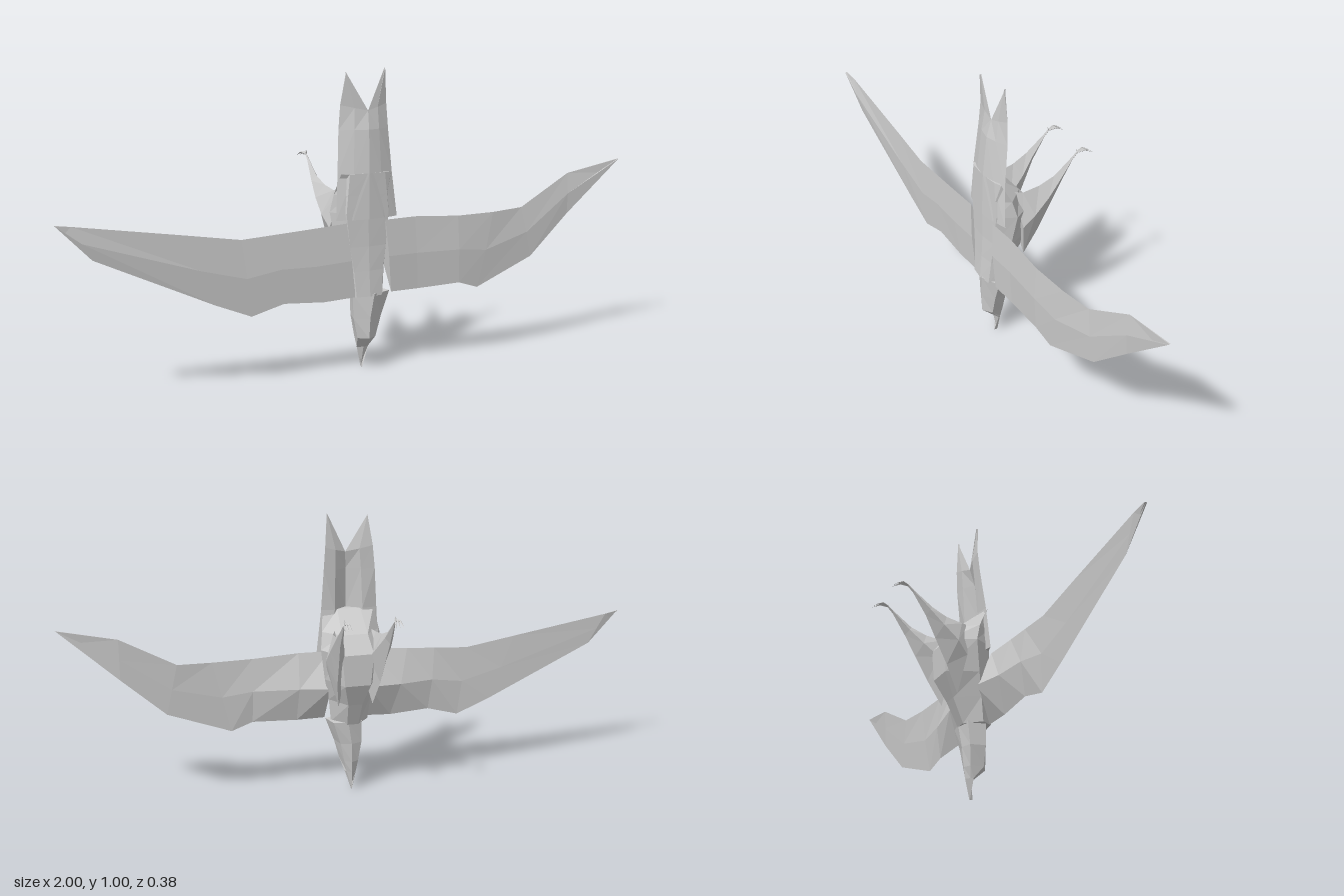
import * as THREE from 'three';

const material = new THREE.MeshStandardMaterial({ color: 0xcccccc, flatShading: true, side: THREE.DoubleSide });
const MID = 0.018; // x of the body's centre line

// Skin a list of equal-sized point rings and close both ends
function loft(name, rings) {
  const n = rings[0].length, index = [];
  for (let r = 0; r < rings.length - 1; r++) {
    for (let i = 0; i < n; i++) {
      const a = r * n + i, b = r * n + (i + 1) % n;
      index.push(a, b, b + n, a, b + n, a + n);
    }
  }
  const end = (rings.length - 1) * n;
  for (let i = 1; i < n - 1; i++) index.push(0, i + 1, i, end, end + i, end + i + 1);
  const geometry = new THREE.BufferGeometry();
  geometry.setAttribute('position', new THREE.Float32BufferAttribute(rings.flat(2), 3));
  geometry.setIndex(index);
  const flat = geometry.toNonIndexed();
  flat.computeVertexNormals();
  const mesh = new THREE.Mesh(flat, material);
  mesh.name = name;
  return mesh;
}

// Body ring: back, flanks and belly at one height
const bodyRing = ([y, w, back, flank, belly, bw]) => [
  [MID, y, back], [MID + w * 0.7, y, back - 0.006], [MID + w, y, flank], [MID + bw, y, belly],
  [MID - bw, y, belly], [MID - w, y, flank], [MID - w * 0.7, y, back - 0.006],
];

// Head ring: six sides between a back and a throat depth
const headRing = ([y, x, w, back, throat]) => {
  const mid = (back + throat) / 2;
  return [
    [x, y, back], [x + w, y, mid + (back - mid) * 0.45], [x + w * 0.75, y, throat + 0.012],
    [x, y, throat], [x - w * 0.75, y, throat + 0.012], [x - w, y, mid + (back - mid) * 0.45],
  ];
};

// Wing ring: lower edge, upper surface, upper edge, thickness underneath
const wingRing = ([xl, yl, xu, yu, z, t]) => {
  const x = (xl + xu) / 2, y = (yl + yu) / 2;
  return [[xl, yl, z], [x, y, z + 0.004], [xu, yu, z - 0.004], [x, y, z - t]];
};

// Tail ring: outer edge, folded surface, inner edge, underside
const tailRing = ([xo, yo, zo, xi, yi, zi, t]) => {
  const x = (xo + xi) / 2, y = (yo + yi) / 2, z = (zo + zi) / 2;
  return [[xo, yo, zo], [x, y, z + 0.004], [xi, yi, zi], [x, y, z - t]];
};

// Thin toe that hooks through three points
function toe(points) {
  const rings = points.map(([x, y, z], i) => {
    const r = [0.004, 0.0035, 0.0005][i];
    return [[x - r, y, z], [x, y + r, z + r * 0.5], [x + r, y, z], [x, y - r, z - r * 0.5]];
  });
  return loft('toe', rings);
}

// Leg on one side: broad thigh tapering to a thin shank, then splayed toes
function makeLeg(side) {
  const leg = new THREE.Group();
  leg.name = side > 0 ? 'leftLeg' : 'rightLeg';
  // centre offset, half width, front edge y/z, rear edge y/z
  const sections = [
    [0.06, 0.035, 0.34, 0.058, 0.60, 0.10],
    [0.075, 0.032, 0.43, 0.012, 0.594, 0.07],
    [0.08, 0.025, 0.515, -0.032, 0.603, 0.01],
    [0.085, 0.014, 0.59, -0.07, 0.625, -0.045],
    [0.085, 0.004, 0.664, -0.117, 0.674, -0.113],
    [0.085, 0.003, 0.683, -0.136, 0.69, -0.132],
  ];
  leg.add(loft('thighAndShank', sections.map(([o, w, y0, z0, y1, z1]) => {
    const x = MID + side * o, y = (y0 + y1) / 2, z = (z0 + z1) / 2;
    return [[x, y0, z0], [x + w, y, z], [x, y1, z1], [x - w, y, z]];
  })));
  const x = MID + side * 0.085;
  for (const spread of [-1, 0, 1]) {
    leg.add(toe([[x, 0.687, -0.134], [x + spread * 0.008, 0.692, -0.158], [x + spread * 0.012, 0.677, -0.187]]));
  }
  leg.add(toe([[x, 0.687, -0.136], [x, 0.692, -0.132], [x, 0.7, -0.13]]));
  return leg;
}

export function createModel() {
  const bird = new THREE.Group();
  bird.name = 'flyingBird';

  bird.add(loft('body', [
    [0.255, 0.066, 0.194, 0.15, 0.098, 0.02],
    [0.34, 0.075, 0.186, 0.14, 0.06, 0.025],
    [0.42, 0.092, 0.181, 0.125, 0.022, 0.045],
    [0.53, 0.108, 0.178, 0.11, 0.02, 0.055],
    [0.59, 0.1, 0.177, 0.125, 0.065, 0.045],
    [0.66, 0.09, 0.176, 0.16, 0.15, 0.04],
  ].map(bodyRing)));

  // Head ending in a pointed beak
  bird.add(loft('head', [
    [0.262, 0.033, 0.067, 0.195, 0.097],
    [0.18, 0.02, 0.05, 0.191, 0.104],
    [0.11, 0.018, 0.033, 0.188, 0.109],
    [0.07, 0.018, 0.021, 0.143, 0.114],
    [0, 0.015, 0.001, 0.129, 0.127],
  ].map(headRing)));

  // Wings differ slightly: one is raised at the tip
  bird.add(loft('rightWing', [
    [-0.03, 0.255, -0.06, 0.502, 0.182, 0.06],
    [-0.14, 0.25, -0.2, 0.493, 0.18, 0.035],
    [-0.28, 0.26, -0.3, 0.487, 0.178, 0.018],
    [-0.39, 0.23, -0.42, 0.48, 0.176, 0.006],
    [-0.51, 0.28, -0.6, 0.51, 0.174, 0.003],
    [-0.89, 0.46, -0.95, 0.567, 0.172, 0.002],
    [-1, 0.575, -1, 0.575, 0.176, 0],
  ].map(wingRing)));
  bird.add(loft('leftWing', [
    [0.1, 0.26, 0.08, 0.503, 0.182, 0.06],
    [0.2, 0.26, 0.19, 0.505, 0.18, 0.035],
    [0.355, 0.265, 0.35, 0.495, 0.186, 0.014],
    [0.43, 0.24, 0.49, 0.495, 0.18, 0.006],
    [0.65, 0.325, 0.61, 0.5, 0.168, 0.003],
    [0.8, 0.462, 0.8, 0.605, 0.162, 0.002],
    [1, 0.645, 1, 0.645, 0.175, 0],
  ].map(wingRing)));

  // Forked tail: two folded halves meeting on the centre ridge
  bird.add(loft('tailRight', [
    [-0.09, 0.51, 0.16, 0.02, 0.51, 0.182, 0.025],
    [-0.08, 0.66, 0.15, 0.022, 0.66, 0.177, 0.02],
    [-0.07, 0.8, 0.135, 0.026, 0.8, 0.163, 0.012],
    [-0.062, 0.88, 0.131, 0.03, 0.86, 0.147, 0.006],
    [-0.045, 0.985, 0.138, -0.045, 0.985, 0.138, 0.002],
  ].map(tailRing)));
  bird.add(loft('tailLeft', [
    [0.13, 0.51, 0.16, 0.02, 0.51, 0.182, 0.025],
    [0.115, 0.66, 0.15, 0.022, 0.66, 0.177, 0.02],
    [0.108, 0.8, 0.135, 0.026, 0.8, 0.163, 0.012],
    [0.103, 0.88, 0.131, 0.03, 0.86, 0.147, 0.006],
    [0.095, 0.995, 0.134, 0.095, 0.995, 0.134, 0.002],
  ].map(tailRing)));

  bird.add(makeLeg(1), makeLeg(-1));
  return bird;
}
